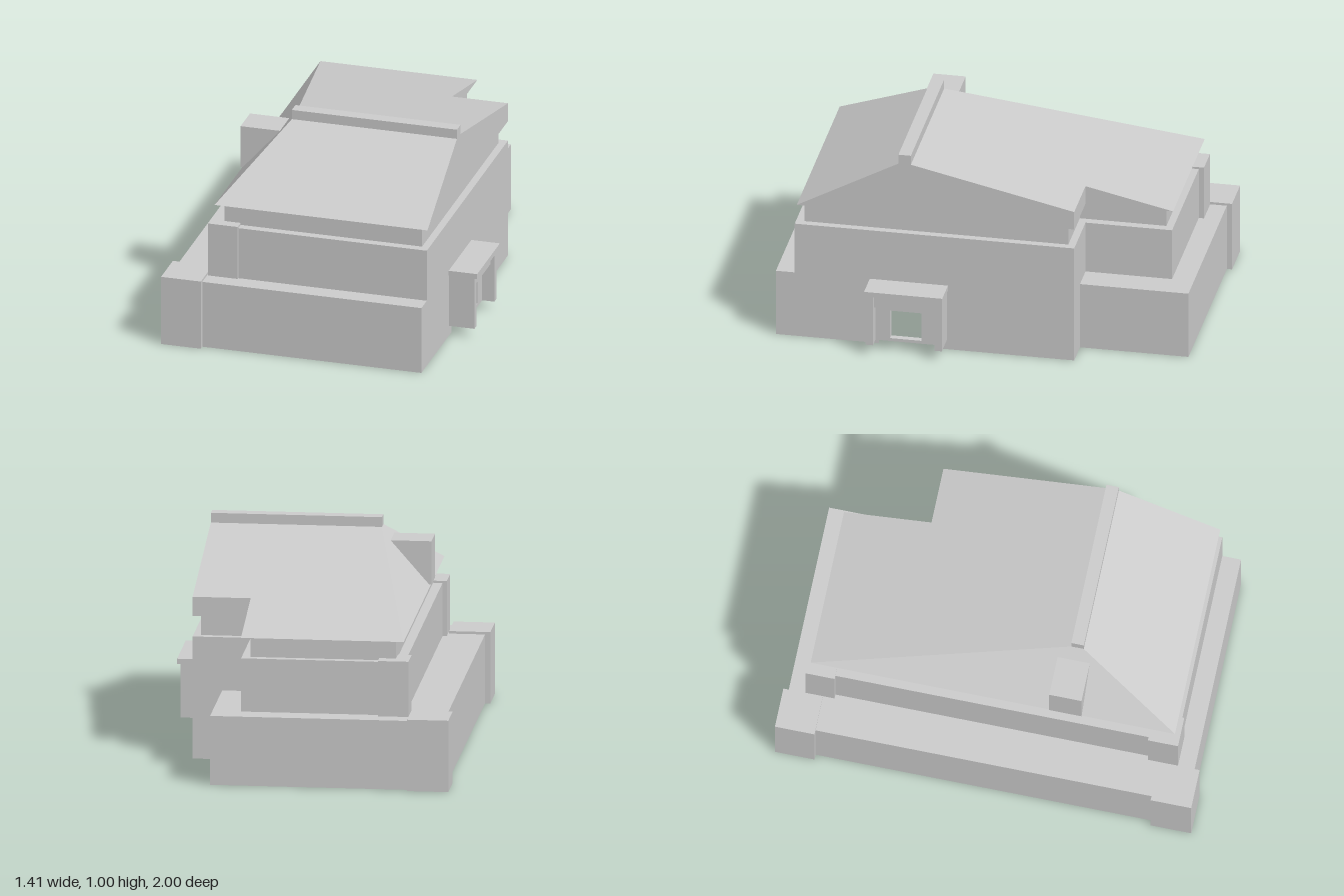
import * as THREE from 'three';

export function createModel() {
  const model = new THREE.Group();
  model.name = 'building';
  const stone = new THREE.MeshStandardMaterial({ color: 0xcccccc, side: THREE.DoubleSide });
  stone.name = 'light grey';

  const add = (name, geometry, parent = model) => {
    const mesh = new THREE.Mesh(geometry, stone);
    mesh.name = name;
    parent.add(mesh);
    return mesh;
  };

  // Flat polygons, each fanned from its first corner
  const faces = (polygons) => {
    const position = [];
    for (const p of polygons)
      for (let i = 1; i < p.length - 1; i++) position.push(...p[0], ...p[i], ...p[i + 1]);
    const g = new THREE.BufferGeometry();
    g.setAttribute('position', new THREE.Float32BufferAttribute(position, 3));
    g.computeVertexNormals();
    return g;
  };

  // L-shaped plan: notch at the back of the +x side; edge 1 is the +x wall
  const plan = (x0, x1, xNotch, zFront, zBack, zNotch) => [
    [x0, zFront], [x1, zFront], [x1, zNotch], [xNotch, zNotch], [xNotch, zBack], [x0, zBack],
  ];
  const walls = (p, y0, y1, skip = -1) => faces(p.map((a, i) => {
    const b = p[(i + 1) % p.length];
    return [[a[0], y0, a[1]], [b[0], y0, b[1]], [b[0], y1, b[1]], [a[0], y1, a[1]]];
  }).filter((_, i) => i !== skip));
  const ledge = (outer, inner, y, down = false) => faces(outer.map((a, i) => {
    const j = (i + 1) % outer.length;
    const q = [a, outer[j], inner[j], inner[i]].map(([x, z]) => [x, y, z]);
    return down ? q.reverse() : q;
  }));

  const box = (name, x0, x1, y0, y1, z0, z1, parent) =>
    add(name, new THREE.BoxGeometry(x1 - x0, y1 - y0, z1 - z0), parent)
      .position.set((x0 + x1) / 2, (y0 + y1) / 2, (z0 + z1) / 2);

  // Stepped hollow storeys
  const base = plan(-0.68, 0.565, 0.425, 0.975, -0.975, -0.455);
  const middle = plan(-0.485, 0.565, 0.29, 0.885, -0.87, -0.455);
  const upper = plan(-0.44, 0.53, 0.25, 0.845, -0.835, -0.42);
  const eaves = plan(-0.48, 0.565, 0.29, 0.875, -0.875, -0.455);
  add('baseWalls', walls(base, 0, 0.333, 1));
  add('baseLedge', ledge(base, middle, 0.333));
  add('middleWalls', walls(middle, 0.333, 0.59, 1));
  add('middleLedge', ledge(middle, upper, 0.59));
  add('upperWalls', walls(upper, 0.59, 0.69));
  add('soffit', ledge(eaves, upper, 0.69, true));

  // Flush side wall with a doorway cut up from the ground; shape x is -z
  const side = new THREE.Shape([
    [-0.975, 0], [-0.48, 0], [-0.48, 0.3], [-0.205, 0.3], [-0.205, 0], [0.455, 0],
    [0.455, 0.59], [-0.885, 0.59], [-0.885, 0.333], [-0.975, 0.333],
  ].map(([x, y]) => new THREE.Vector2(x, y)));
  add('sideWall', new THREE.ShapeGeometry(side).rotateY(Math.PI / 2).translate(0.565, 0, 0));

  // Corner pillars, open underneath
  const pillar = (name, x0, x1, z0, z1, y0, y1) => {
    const p = [[x0, z1], [x1, z1], [x1, z0], [x0, z0]];
    const group = new THREE.Group();
    group.name = name;
    add('pillarSides', walls(p, y0, y1), group);
    add('pillarTop', faces([p.map(([x, z]) => [x, y1, z])]), group);
    model.add(group);
  };
  pillar('frontBasePillar', -0.705, -0.51, 0.805, 1, 0, 0.345);
  pillar('backBasePillar', -0.705, -0.51, -1, -0.81, 0, 0.345);
  pillar('frontMiddlePillar', -0.505, -0.36, 0.75, 0.895, 0.333, 0.6);
  pillar('backMiddlePillar', -0.505, -0.36, -0.895, -0.755, 0.333, 0.6);

  // Asymmetric roof with a hipped end and a gabled end
  const e = 0.69, r = 0.955, n = 0.782;
  const FL = [-0.48, e, 0.875], FR = [0.565, e, 0.875], BL = [-0.48, e, -0.875], BR = [0.29, e, -0.875];
  const ridgeFL = [-0.245, r, 0.388], ridgeFR = [0.565, r, 0.388];
  const ridgeBL = [-0.245, r, 0.328], ridgeBR = [0.565, r, 0.328];
  const notchIn = [0.29, n, -0.455], notchOut = [0.565, n, -0.455];
  const lowIn = [0.29, e, -0.455], lowOut = [0.565, e, -0.455];
  add('roof', faces([
    [FL, FR, ridgeFR, ridgeFL],
    [notchIn, BR, BL, ridgeBL, ridgeBR, notchOut],
    [BL, FL, ridgeFL, ridgeBL],
    [FR, lowOut, notchOut, ridgeBR, ridgeFR],
    [lowOut, lowIn, notchIn, notchOut],
    [lowIn, BR, notchIn],
  ]));
  box('ridgeCap', -0.245, 0.565, r, 1.002, 0.328, 0.388);

  // Wedge dormer on the hipped end
  const wedge = new THREE.Shape();
  wedge.moveTo(-0.485, 0.695).lineTo(-0.475, 0.695).lineTo(-0.292, 0.905).lineTo(-0.485, 0.905);
  add('dormer', new THREE.ExtrudeGeometry(wedge, { depth: 0.155, bevelEnabled: false })
    .translate(0, 0, 0.272));

  // Entrance porch
  const porch = new THREE.Group();
  porch.name = 'porch';
  model.add(porch);
  box('porchRoof', 0.565, 0.705, 0.31, 0.335, 0.15, 0.525, porch);
  box('frontPost', 0.565, 0.69, 0.05, 0.31, 0.485, 0.52, porch);
  box('backPost', 0.565, 0.69, 0.05, 0.31, 0.155, 0.19, porch);
  box('lintel', 0.64, 0.67, 0.24, 0.31, 0.19, 0.485, porch);
  const panel = new THREE.Shape();
  panel.moveTo(-0.485, 0.05).lineTo(-0.19, 0.05).lineTo(-0.19, 0.31).lineTo(-0.485, 0.31);
  const opening = new THREE.Path();
  opening.moveTo(-0.415, 0.065).lineTo(-0.415, 0.21).lineTo(-0.265, 0.21).lineTo(-0.265, 0.065);
  panel.holes.push(opening);
  add('doorFrame', new THREE.ExtrudeGeometry(panel, { depth: 0.03, bevelEnabled: false })
    .rotateY(Math.PI / 2).translate(0.6, 0, 0), porch);

  return model;
}
